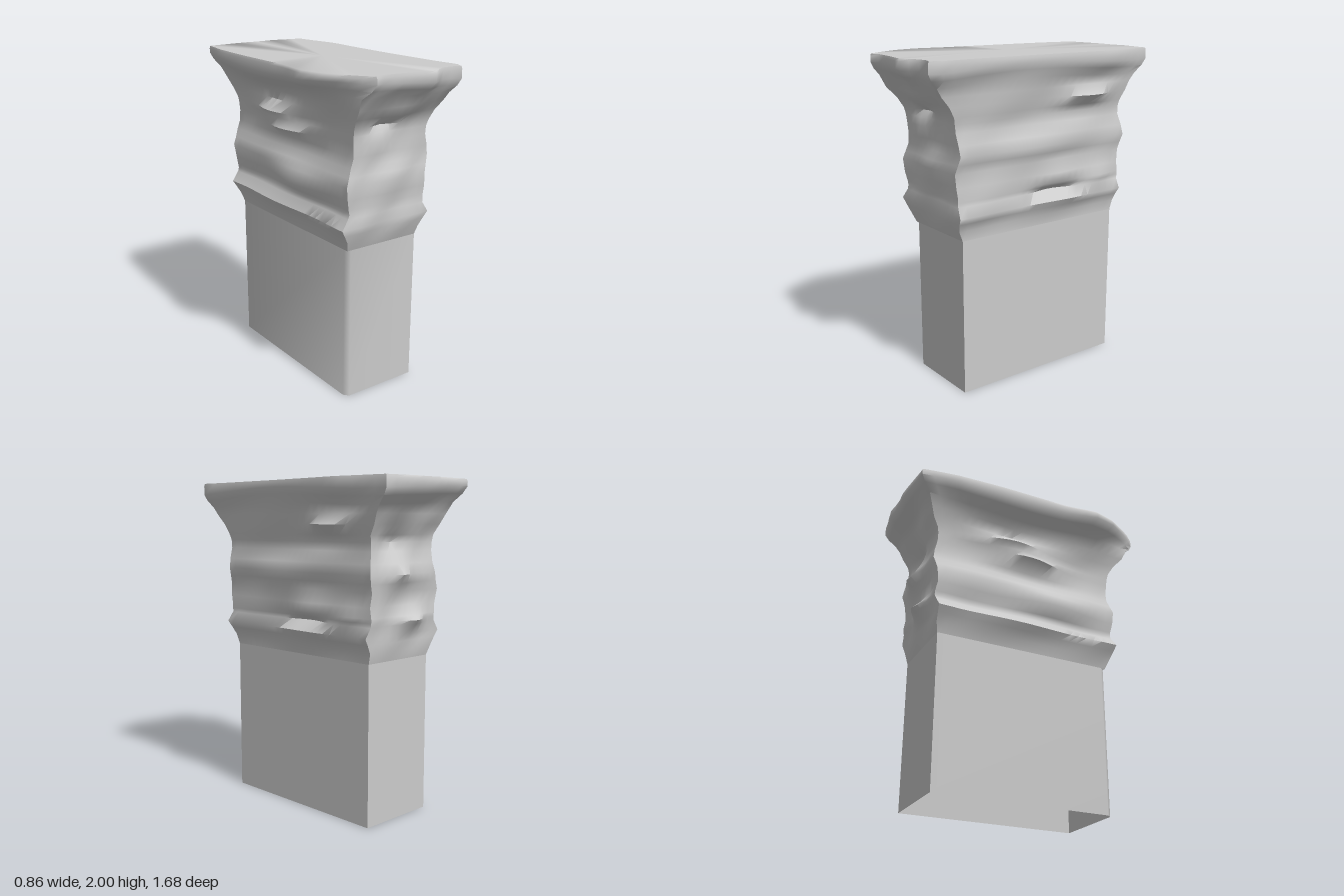
import * as THREE from 'three';
import { toCreasedNormals } from 'three/addons/utils/BufferGeometryUtils.js';

const material = new THREE.MeshStandardMaterial({ color: 0xcccccc, side: THREE.DoubleSide });

// Skin closed rings of Vector3, stacked from bottom to top
function skin(name, rings, capped, crease) {
  const n = rings[0].length;
  const points = rings.flat();
  const index = [];
  for (let j = 0; j < rings.length - 1; j++) {
    for (let i = 0; i < n; i++) {
      const a = j * n + i, b = j * n + (i + 1) % n;
      index.push(a, a + n, b, b, a + n, b + n);
    }
  }
  if (capped) {
    const base = (rings.length - 1) * n;
    points.push(new THREE.Vector3(0, 2, 0));
    for (let i = 0; i < n; i++) index.push(points.length - 1, base + (i + 1) % n, base + i);
  }
  const geo = new THREE.BufferGeometry().setFromPoints(points);
  geo.setIndex(index);
  const mesh = new THREE.Mesh(toCreasedNormals(geo, crease), material);
  mesh.name = name;
  return mesh;
}

// Outline of the top slab as [x, z], one line per side: back, +x, front, -x
const slabSides = [
  [[-0.33, -0.81], [-0.2, -0.825], [-0.06, -0.84], [0.06, -0.83], [0.18, -0.845], [0.3, -0.82], [0.38, -0.81]],
  [[0.38, -0.81], [0.4, -0.65], [0.43, -0.47], [0.41, -0.2], [0.4, 0.1], [0.4, 0.55], [0.415, 0.74], [0.38, 0.79]],
  [[0.38, 0.79], [0.34, 0.765], [0.24, 0.77], [0.16, 0.835], [0, 0.8], [-0.16, 0.775], [-0.23, 0.8]],
  [[-0.23, 0.8], [-0.3, 0.72], [-0.4, 0.54], [-0.435, 0.39], [-0.4, 0.2], [-0.39, -0.3], [-0.37, -0.6], [-0.33, -0.81]],
];
const segments = [10, 22, 10, 22];
const outward = [[0, -1], [1, 0], [0, 1], [-1, 0]];

// Rock courses: y, left x, right x, front z, back z, blend to slab outline
const courses = [
  [0.96, -0.21, 0.30, 0.54, -0.62, 0],
  [1.02, -0.23, 0.305, 0.565, -0.635, 0],
  [1.07, -0.26, 0.33, 0.58, -0.64, 0],
  [1.11, -0.285, 0.355, 0.59, -0.645, 0],
  [1.17, -0.24, 0.32, 0.58, -0.65, 0],
  [1.195, -0.23, 0.32, 0.58, -0.655, 0],
  [1.22, -0.235, 0.32, 0.58, -0.655, 0],
  [1.28, -0.25, 0.32, 0.59, -0.645, 0],
  [1.36, -0.26, 0.315, 0.595, -0.655, 0],
  [1.41, -0.24, 0.33, 0.585, -0.66, 0],
  [1.46, -0.22, 0.345, 0.575, -0.67, 0],
  [1.52, -0.205, 0.335, 0.58, -0.66, 0],
  [1.59, -0.21, 0.315, 0.585, -0.645, 0],
  [1.64, -0.215, 0.315, 0.59, -0.645, 0],
  [1.68, -0.22, 0.325, 0.6, -0.65, 0],
  [1.74, -0.235, 0.335, 0.635, -0.685, 0],
  [1.80, -0.26, 0.345, 0.69, -0.71, 0],
  [1.86, -0.28, 0.35, 0.71, -0.725, 0.18],
  [1.905, -0.28, 0.35, 0.71, -0.725, 0.72],
  [1.945, -0.28, 0.35, 0.71, -0.725, 1],
  [1.985, -0.28, 0.35, 0.71, -0.725, 1],
  [2.0, -0.28, 0.35, 0.71, -0.725, 0.94],
];

// Knobs and hollows: side, place along side, y, height, spread along, spread up
const knobs = [
  [0, 0.4, 1.19, 0.06, 0.18, 0.035], [0, 0.55, 1.45, 0.05, 0.2, 0.05],
  [0, 0.6, 1.64, -0.05, 0.2, 0.05], [0, 0.3, 1.32, -0.04, 0.15, 0.05],
  [1, 0.42, 1.25, 0.055, 0.13, 0.05], [1, 0.42, 1.17, -0.05, 0.12, 0.03],
  [1, 0.25, 1.73, 0.075, 0.15, 0.04], [1, 0.25, 1.65, -0.02, 0.15, 0.03],
  [1, 0.1, 1.21, 0.03, 0.1, 0.04], [1, 0.7, 1.47, 0.02, 0.2, 0.04],
  [2, 0.6, 1.68, -0.06, 0.17, 0.04], [2, 0.5, 1.75, 0.03, 0.2, 0.04],
  [2, 0.5, 1.4, 0.02, 0.2, 0.06],
  [3, 0.4, 1.28, 0.05, 0.2, 0.035], [3, 0.5, 1.59, 0.08, 0.22, 0.03],
  [3, 0.6, 1.67, 0.09, 0.2, 0.04], [3, 0.5, 1.37, 0.03, 0.2, 0.04],
];

function relief(side, t, y) {
  const fade = Math.sin(Math.PI * t);
  let d = 0.008 * Math.sin(9 * t + 14 * y + side * 2) * THREE.MathUtils.smoothstep(y, 0.98, 1.1);
  for (const [s, kt, ky, h, st, sy] of knobs) {
    if (s === side) d += h * Math.exp(-(((t - kt) / st) ** 2) - ((y - ky) / sy) ** 2);
  }
  return d * Math.min(1, fade * 2);
}

function courseRing([y, l, r, f, b, blend]) {
  const corners = [[l, b], [r, b], [r, f], [l, f]];
  const ring = [];
  slabSides.forEach((line, s) => {
    const n = segments[s];
    const slab = new THREE.Path(line.map(p => new THREE.Vector2(...p))).getSpacedPoints(n);
    const from = new THREE.Vector2(...corners[s]), to = new THREE.Vector2(...corners[(s + 1) % 4]);
    for (let i = 0; i < n; i++) {
      const p = from.clone().lerp(to, i / n);
      p.addScaledVector(new THREE.Vector2(...outward[s]), relief(s, i / n, y));
      p.lerp(slab[i], blend);
      // The slab's underside waves gently along its length
      const wave = blend > 0 && y < 1.96 ? 0.015 * Math.sin(4 * p.y + 3 * p.x) : 0;
      ring.push(new THREE.Vector3(p.x, y + wave, p.y));
    }
  });
  return ring;
}

export function createModel() {
  const group = new THREE.Group();
  group.name = 'rockPillar';

  // Plain shaft, open below, with one small cut corner
  const footprint = [[-0.21, -0.62], [0.3, -0.62], [0.3, 0.54], [-0.185, 0.54], [-0.21, 0.51]];
  const shaft = [0, 0.96].map(y => footprint.map(([x, z]) => new THREE.Vector3(x, y, z)));
  group.add(skin('shaft', shaft, false, 0.9));

  // Weathered courses flaring out to the flat top slab
  group.add(skin('rockyCapital', courses.map(courseRing), true, 1.15));
  return group;
}
